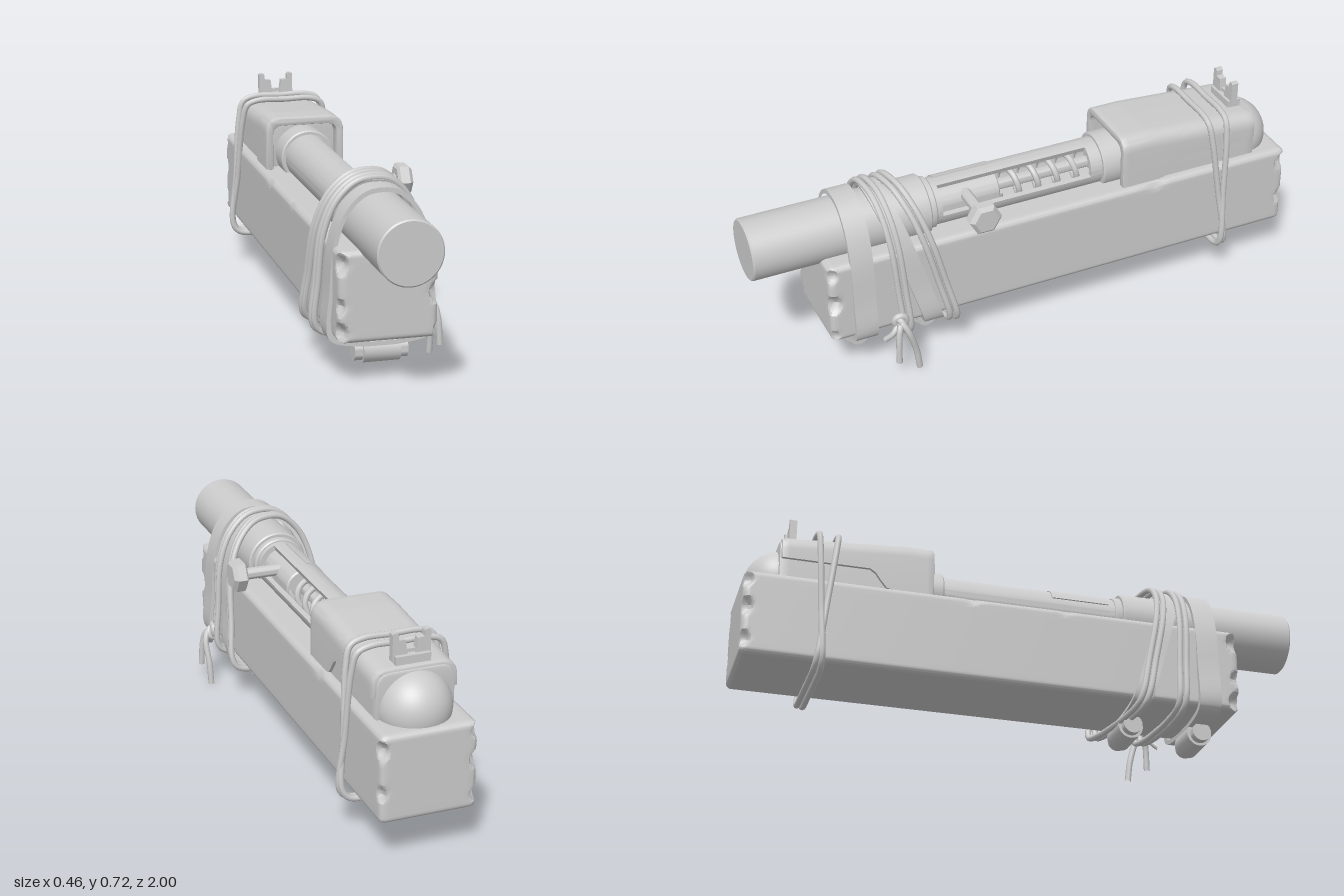
import * as THREE from 'three';
import { toCreasedNormals } from 'three/addons/utils/BufferGeometryUtils.js';

const CX = -0.025, CY = 0.512; // barrel axis
const rad = THREE.MathUtils.degToRad;

export function createModel() {
  const root = new THREE.Group();
  const mat = new THREE.MeshStandardMaterial({ color: 0xcccccc });

  const add = (name, geo, x = 0, y = 0, z = 0) => {
    const m = new THREE.Mesh(geo, mat);
    m.name = name;
    m.position.set(x, y, z);
    root.add(m);
    return m;
  };
  const crease = (g, a = 0.6) => toCreasedNormals(g, a);
  const deform = (g, fn) => {
    const p = g.attributes.position, v = new THREE.Vector3();
    for (let i = 0; i < p.count; i++) {
      v.fromBufferAttribute(p, i);
      fn(v);
      p.setXYZ(i, v.x, v.y, v.z);
    }
    g.computeVertexNormals();
    return g;
  };
  // cylinder along z, from z0 to z1
  const rodZ = (name, r, z0, z1, y = CY) => add(name,
    crease(new THREE.LatheGeometry([[0, z0], [r - 0.005, z0], [r, z0 + 0.005], [r, z1 - 0.005], [r - 0.005, z1], [0, z1]]
      .map(([a, b]) => new THREE.Vector2(a, b)), 48).rotateX(Math.PI / 2)), CX, y, 0);
  // cylinder along x
  const rodX = (name, r, x0, x1, y, z, sides = 24) => add(name,
    crease(new THREE.CylinderGeometry(r, r, x1 - x0, sides).rotateZ(Math.PI / 2)), (x0 + x1) / 2, y, z);
  // part of a pipe wall between two angles
  const arcWall = (name, ri, ro, a0, a1, z0, z1) => {
    const s = new THREE.Shape();
    s.absarc(0, 0, ro, rad(a0), rad(a1), false);
    s.absarc(0, 0, ri, rad(a1), rad(a0), true);
    add(name, crease(new THREE.ExtrudeGeometry(s, { depth: z1 - z0, bevelEnabled: false, curveSegments: 40 })), CX, CY, z0);
  };

  // Wooden stock: rounded block with chipped edges
  const half = new THREE.Vector3(0.165, 0.1525, 0.8825);
  const chips = [ // x side, y, z, size
    [1, 0.12, 0.88, 0.035], [1, 0.0, 0.88, 0.045], [1, -0.13, 0.88, 0.03],
    [-1, 0.11, 0.88, 0.045], [-1, -0.03, 0.88, 0.035], [-1, -0.12, 0.88, 0.045],
    [1, 0.1, -0.88, 0.04], [1, -0.05, -0.88, 0.035], [-1, 0.12, -0.88, 0.035],
    [-1, 0.02, -0.88, 0.04], [-1, -0.1, -0.88, 0.035],
    [1, 0.15, -0.35, 0.03], [-1, 0.15, -0.1, 0.03], [-1, 0.15, 0.25, 0.025],
  ].map(([x, y, z, r]) => ({ c: new THREE.Vector3(x * 0.175, y, z), r }));
  const block = deform(new THREE.BoxGeometry(2, 2, 2, 20, 34, 90), (v) => {
    for (const k of ['x', 'y', 'z']) v[k] = Math.sin(v[k] * Math.PI / 2) * half[k];
    const r = 0.02;
    const core = v.clone().clamp(half.clone().negate().addScalar(r), half.clone().addScalar(-r));
    const d = v.clone().sub(core);
    if (d.length() > r) v.copy(core).add(d.setLength(r));
    for (const chip of chips) {
      const t = v.distanceTo(chip.c) / chip.r;
      if (t < 1) {
        v.x -= Math.sign(chip.c.x) * (1 - t) * chip.r * 0.7;
        v.z -= Math.abs(chip.c.z) > 0.8 ? Math.sign(chip.c.z) * (1 - t) * chip.r * 0.7 : 0;
      }
    }
  });
  add('stock', crease(block, 0.5), CX, 0.3075, -0.1175);

  // Barrel and slotted bolt tube
  rodZ('barrel', 0.108, 0.36, 1);
  rodZ('frontCollar', 0.094, 0.335, 0.37);
  rodZ('rearCollar', 0.1, -0.4, -0.295);
  arcWall('tubeFront', 0.066, 0.085, 0, 360, 0.315, 0.345);
  arcWall('tubeSlotted', 0.066, 0.085, 70, 352, -0.25, 0.315);
  arcWall('tubeRear', 0.066, 0.085, 0, 360, -0.34, -0.25);
  arcWall('sidePanel', 0.08, 0.089, 100, 158, 0.1, 0.31);
  rodZ('bolt', 0.064, 0.09, 0.33);
  rodZ('springRod', 0.02, -0.3, 0.1);

  // Spring inside the tube
  const coil = [];
  for (let i = 0; i <= 100; i++) {
    const a = i / 100 * Math.PI * 2 * 5;
    coil.push(new THREE.Vector3(0.052 * Math.cos(a), 0.052 * Math.sin(a), -0.28 + 0.37 * i / 100));
  }
  add('spring', new THREE.TubeGeometry(new THREE.CatmullRomCurve3(coil), 200, 0.011, 8), CX, CY, 0);

  // Bolt handle with a hexagonal knob
  rodX('handleShaft', 0.021, 0.01, 0.17, 0.541, 0.215);
  const knob = new THREE.LatheGeometry([[0, 0], [0.048, 0], [0.06, 0.008], [0.06, 0.04], [0.045, 0.053], [0, 0.053]]
    .map(([a, b]) => new THREE.Vector2(a, b)), 6);
  add('handleKnob', crease(knob.rotateZ(-Math.PI / 2), 0.4), 0.153, 0.541, 0.215);

  // Receiver: hollow cover with a stepped lower edge, over a solid body
  const arch = (s, w, y0, y1, r) => {
    s.moveTo(-w, y0);
    s.lineTo(-w, y1 - r); s.quadraticCurveTo(-w, y1, -w + r, y1);
    s.lineTo(w - r, y1); s.quadraticCurveTo(w, y1, w, y1 - r);
    s.lineTo(w, y0);
    return s;
  };
  const cover = arch(new THREE.Shape(), 0.139, 0.468, 0.647, 0.05);
  cover.lineTo(0.125, 0.468);
  cover.lineTo(0.125, 0.59); cover.quadraticCurveTo(0.123, 0.628, 0.085, 0.63);
  cover.lineTo(-0.085, 0.63); cover.quadraticCurveTo(-0.123, 0.628, -0.125, 0.59);
  cover.lineTo(-0.125, 0.468);
  const slope = (v) => {
    if (v.y > 0.5) v.y -= 0.03 * THREE.MathUtils.clamp((-0.45 - v.z) / 0.42, 0, 1);
  };
  const bevel = { bevelThickness: 0.006, bevelSize: 0.006, bevelSegments: 2, curveSegments: 8 };
  add('receiverCover', crease(deform(new THREE.ExtrudeGeometry(cover, { depth: 0.52, steps: 26, ...bevel })
    .translate(0, 0, -0.87), (v) => {
    slope(v);
    if (v.y < 0.48) v.y += 0.07 * THREE.MathUtils.smoothstep(-v.z, 0.5, 0.57);
  })), CX, 0, 0);
  const body = arch(new THREE.Shape(), 0.128, 0.45, 0.638, 0.045);
  add('receiverBody', crease(deform(new THREE.ExtrudeGeometry(body, { depth: 0.47, steps: 16, ...bevel })
    .translate(0, 0, -0.875), slope)), CX, 0, 0);
  add('roundedEnd', new THREE.SphereGeometry(0.126, 40, 24), CX, 0.484, -0.859);

  // Rear sight: two stepped posts on a base
  for (const s of [-1, 1]) {
    const post = new THREE.Shape([[0.065, 0.63], [0.065, 0.722], [0.061, 0.726], [0.049, 0.726], [0.045, 0.72],
      [0.044, 0.702], [0.021, 0.7], [0.015, 0.655], [0.015, 0.63]].map(([x, y]) => new THREE.Vector2(s * x, y)));
    add('sightPost', new THREE.ExtrudeGeometry(post, { depth: 0.025, bevelEnabled: false }), CX, 0, -0.842);
  }
  add('sightBase', new THREE.BoxGeometry(0.12, 0.03, 0.05), CX, 0.637, -0.832);
  add('sightBar', new THREE.BoxGeometry(0.05, 0.012, 0.012), CX, 0.66, -0.83);

  // Closed outlines, mirrored from half profiles
  const mirrored = (h) => [...h, ...h.slice(1, -1).reverse().map(([x, y]) => [-x, y])];
  const strapLoop = mirrored([[0, 0.642], [0.06, 0.63], [0.12, 0.572], [0.16, 0.47], [0.176, 0.3],
    [0.184, 0.17], [0.165, 0.138], [0.08, 0.118], [0, 0.115]]);
  const rearLoop = mirrored([[0, 0.652], [0.1, 0.652], [0.142, 0.635], [0.16, 0.57], [0.176, 0.35],
    [0.19, 0.16], [0.165, 0.128], [0.08, 0.122], [0, 0.122]]);

  // Flat straps, sheared along z, each closed by a clamp roll underneath
  const strap = (zBottom, zTop, width) => {
    const outline = (kx, ky) => new THREE.CatmullRomCurve3(strapLoop.map(([x, y]) =>
      new THREE.Vector3(x * kx, 0.38 + (y - 0.38) * ky, 0)), true).getPoints(72).slice(0, -1)
      .map((p) => new THREE.Vector2(p.x, p.y));
    const s = new THREE.Shape(outline(1, 1));
    s.holes.push(new THREE.Path(outline(0.92, 0.94)));
    add('strap', crease(deform(new THREE.ExtrudeGeometry(s, { depth: width, bevelEnabled: false }), (v) => {
      v.z += zBottom + (zTop - zBottom) * (v.y - 0.13) / 0.5 - width / 2;
    })), CX, 0, 0);
    rodX('clampRoll', 0.045, -0.085, 0.04, 0.095, zBottom);
    rodX('clampPin', 0.034, -0.113, 0.067, 0.093, zBottom);
  };
  strap(0.645, 0.645, 0.08);
  strap(0.39, 0.54, 0.07);

  // Cord wrappings
  const cord = (name, pts, r, closed) => add(name, new THREE.TubeGeometry(
    new THREE.CatmullRomCurve3(pts.map((p) => new THREE.Vector3(...p)), closed), closed ? 120 : 24, r, 8, closed));
  const wrap = (name, loop, zBottom, zTop, skew, grow, r) => cord(name, loop.map(([x, y]) =>
    [CX + x * grow, 0.38 + (y - 0.38) * (1 + (grow - 1) * 0.5), zBottom + (zTop - zBottom) * (y - 0.13) / 0.5 + skew * x]), r, true);
  wrap('frontCord', strapLoop, 0.53, 0.565, -0.1, 1.03, 0.011);
  wrap('frontCord', strapLoop, 0.505, 0.54, -0.1, 1.05, 0.011);
  wrap('frontCord', strapLoop, 0.37, 0.49, -0.2, 1.03, 0.011);
  wrap('frontCord', strapLoop, 0.345, 0.465, -0.2, 1.05, 0.011);
  wrap('rearCord', rearLoop, -0.75, -0.685, 0, 1, 0.011);
  wrap('rearCord', rearLoop, -0.73, -0.75, 0, 1.02, 0.011);

  // Knot with two hanging tails
  for (const [ry, dy] of [[0.3, 0], [1.4, 0.01]]) {
    add('knot', new THREE.TorusGeometry(0.02, 0.012, 8, 20), 0.172, 0.19 + dy, 0.53).rotation.set(0.4, ry, 0);
  }
  cord('cordTail', [[0.165, 0.19, 0.53], [0.19, 0.2, 0.53], [0.207, 0.17, 0.515], [0.203, 0.08, 0.487], [0.201, 0.003, 0.476]], 0.011, false);
  cord('cordTail', [[0.165, 0.18, 0.53], [0.195, 0.19, 0.54], [0.207, 0.15, 0.55], [0.213, 0.055, 0.555]], 0.011, false);
  cord('cordTail', [[0.165, 0.2, 0.53], [0.18, 0.16, 0.56], [0.165, 0.13, 0.585]], 0.01, false);

  return root;
}
